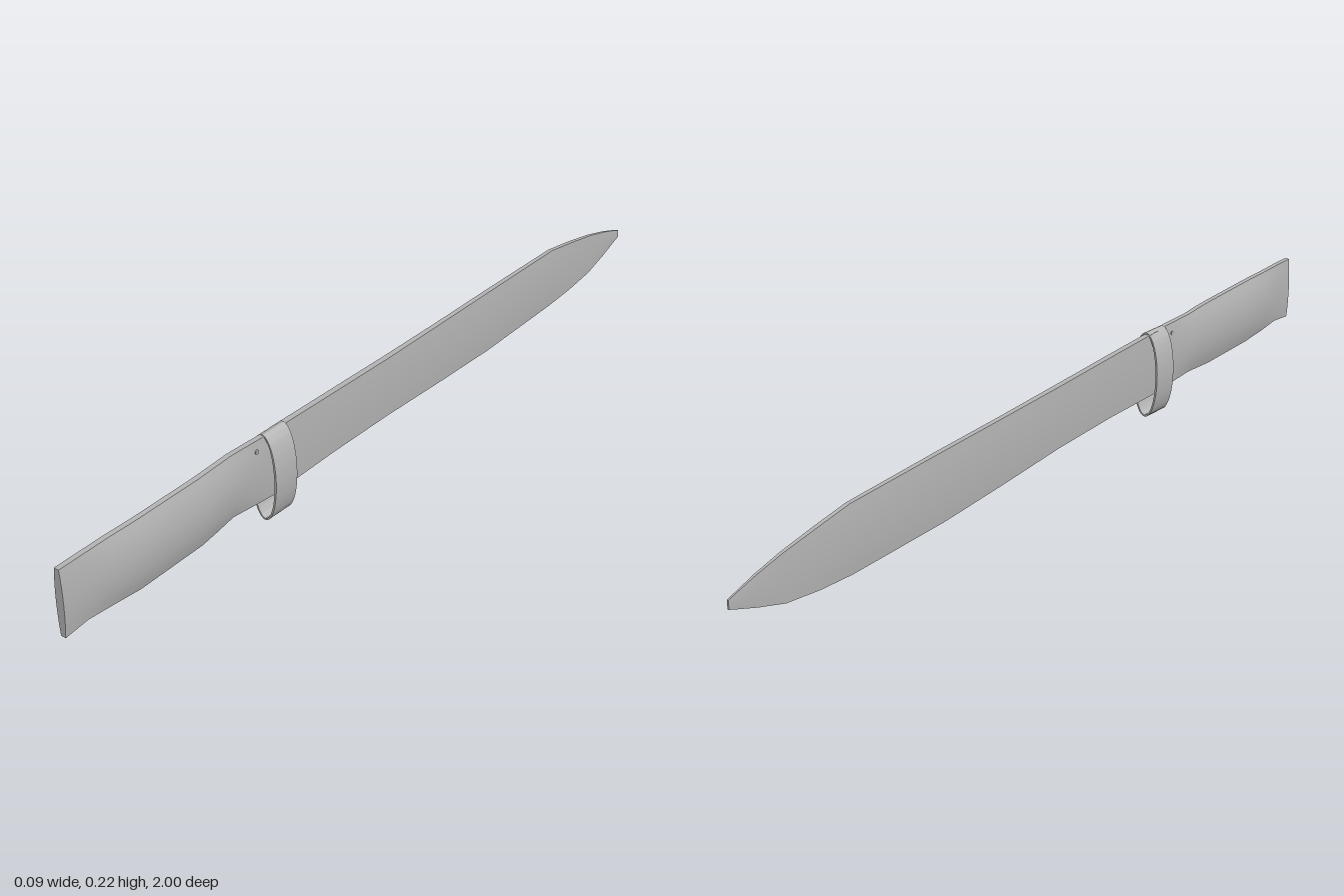
import * as THREE from 'three';
import { toCreasedNormals } from 'three/addons/utils/BufferGeometryUtils.js';

// Skin a list of stations [z, topY, bottomY, centreX, midHalfWidth, edgeHalfWidth]
function loft(stations, steps = 8) {
  const positions = [], index = [], n = 2 * (steps + 1);
  for (const [z, top, bottom, cx, mid, edge] of stations) {
    for (let j = 0; j < n; j++) {
      const right = j <= steps;
      const t = right ? j / steps : (n - 1 - j) / steps;
      const bulge = Math.pow(Math.max(0, Math.sin(Math.PI * t)), 0.8);
      const half = edge + (mid - edge) * bulge;
      positions.push(cx + (right ? half : -half), bottom + (top - bottom) * t, z);
    }
  }
  const last = (stations.length - 1) * n;
  for (let i = 0; i < last; i += n) {
    for (let j = 0; j < n; j++) {
      const k = (j + 1) % n;
      index.push(i + j, i + n + j, i + k, i + k, i + n + j, i + n + k);
    }
  }
  // End caps, as strips between the two sides
  for (let j = 0; j < steps; j++) {
    const a = j, b = j + 1, c = n - 2 - j, d = n - 1 - j;
    index.push(a, b, c, a, c, d);
    index.push(last + a, last + c, last + b, last + a, last + d, last + c);
  }
  const geometry = new THREE.BufferGeometry();
  geometry.setAttribute('position', new THREE.Float32BufferAttribute(positions, 3));
  geometry.setIndex(index);
  return toCreasedNormals(geometry, Math.PI / 5);
}

export function createModel() {
  const group = new THREE.Group();
  const steel = new THREE.MeshStandardMaterial({ color: 0xb4b4b4 });
  steel.name = 'grey steel';

  const add = (name, geometry) => {
    const mesh = new THREE.Mesh(geometry, steel);
    mesh.name = name;
    group.add(mesh);
    return mesh;
  };

  // Grip: swollen in the middle, pinched at the butt and at the guard
  add('grip', loft([
    [1.0, 0.221, 0.068, 0.031, 0.010, 0.006],
    [0.94, 0.22, 0.073, 0.029, 0.011, 0.006],
    [0.87, 0.218, 0.065, 0.026, 0.019, 0.006],
    [0.8, 0.216, 0.058, 0.025, 0.020, 0.006],
    [0.62, 0.211, 0.055, 0.017, 0.020, 0.006],
    [0.57, 0.21, 0.059, 0.013, 0.019, 0.006],
    [0.52, 0.208, 0.063, 0.008, 0.018, 0.006],
    [0.46, 0.206, 0.057, 0.008, 0.012, 0.006],
    [0.39, 0.203, 0.051, 0.008, 0.008, 0.006],
  ]));

  // Blade: thin, broadening toward the far end, then tapering to a blunt tip
  add('blade', loft([
    [0.39, 0.203, 0.051, 0.006, 0.009, 0.007],
    [0.2, 0.195, 0.05, -0.001, 0.009, 0.007],
    [0.0, 0.186, 0.043, -0.009, 0.009, 0.007],
    [-0.2, 0.179, 0.029, -0.018, 0.009, 0.006],
    [-0.4, 0.173, 0.018, -0.027, 0.009, 0.006],
    [-0.68, 0.163, 0.014, -0.04, 0.009, 0.005],
    [-0.77, 0.148, 0.018, -0.043, 0.007, 0.005],
    [-0.86, 0.131, 0.027, -0.045, 0.005, 0.004],
    [-0.93, 0.113, 0.047, -0.046, 0.004, 0.003],
    [-0.98, 0.097, 0.064, -0.047, 0.003, 0.002],
    [-1.0, 0.09, 0.071, -0.047, 0.002, 0.002],
  ]));

  // Guard: an oval band around the blade, hanging below it
  const oval = new THREE.Shape().absellipse(0.008, 0.103, 0.034, 0.103, 0, Math.PI * 2);
  oval.holes.push(new THREE.Path().absellipse(0.008, 0.103, 0.029, 0.099, 0, Math.PI * 2, true));
  const band = new THREE.ExtrudeGeometry(oval, { depth: 0.065, bevelEnabled: false, curveSegments: 40 });
  band.translate(0, 0, 0.355);
  add('guardBand', toCreasedNormals(band, Math.PI / 4));

  // Small pin through the neck of the grip
  const pin = add('pin', new THREE.CylinderGeometry(0.005, 0.005, 0.022, 12));
  pin.rotation.z = Math.PI / 2;
  pin.position.set(0.008, 0.182, 0.447);

  return group;
}
